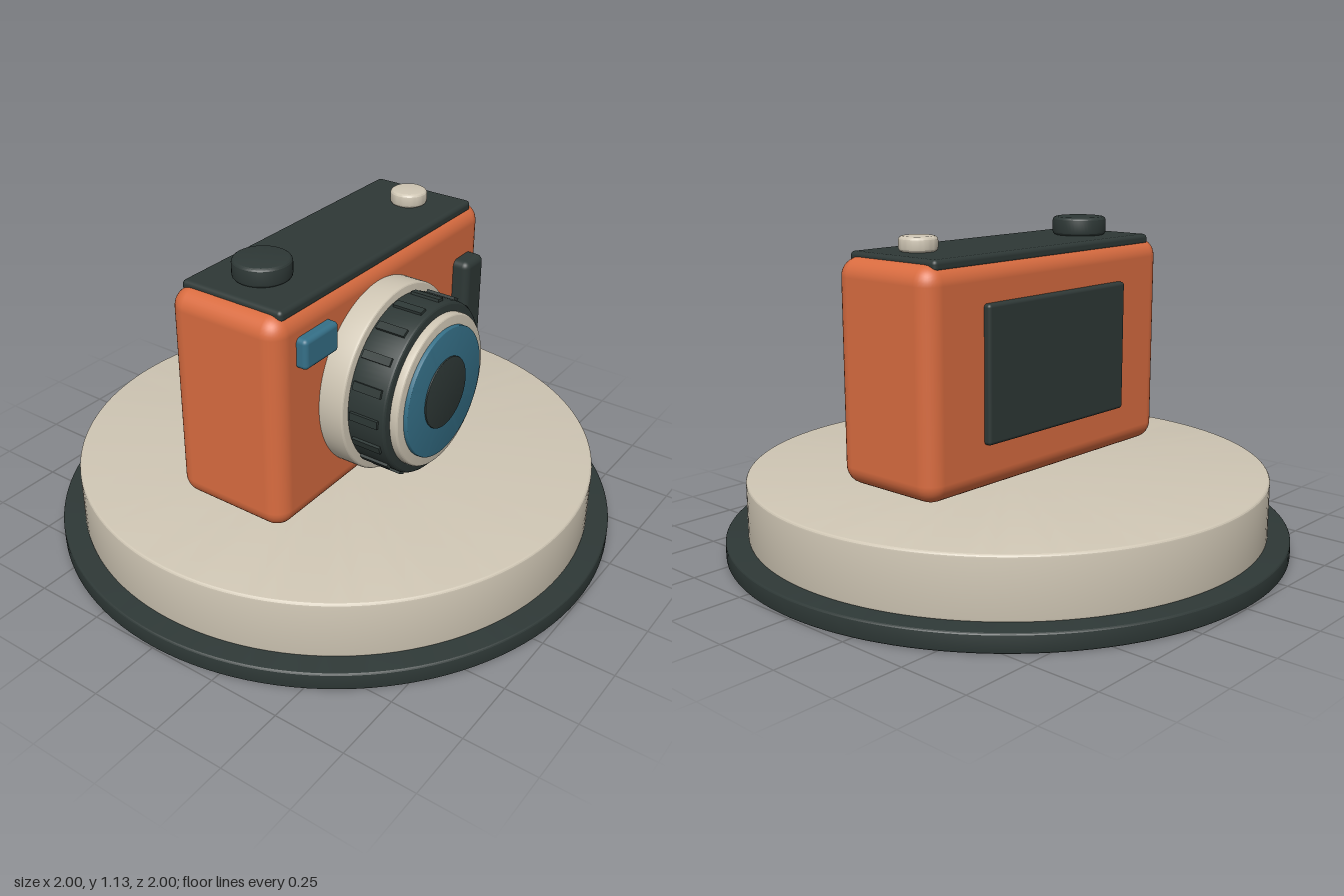
import * as THREE from 'three';
import { toCreasedNormals } from 'three/addons/utils/BufferGeometryUtils.js';
import { RoundedBoxGeometry } from 'three/addons/geometries/RoundedBoxGeometry.js';

const paint = (name, color) => {
  const m = new THREE.MeshStandardMaterial({ color });
  m.name = name;
  return m;
};

export function createModel() {
  const orange = paint('orange', 0xd96c40);
  const dark = paint('charcoal', 0x2e3836);
  const cream = paint('cream', 0xcfc6b4);
  const blue = paint('blue', 0x357088);

  const model = new THREE.Group();
  model.name = 'cameraOnStand';

  const add = (parent, name, geometry, material, x = 0, y = 0, z = 0) => {
    const mesh = new THREE.Mesh(geometry, material);
    mesh.name = name;
    mesh.position.set(x, y, z);
    parent.add(mesh);
    return mesh;
  };

  // Rounded block given by its limits on each axis
  const block = (name, material, [x0, x1], [y0, y1], [z0, z1], radius) =>
    add(model, name, new RoundedBoxGeometry(x1 - x0, y1 - y0, z1 - z0, 4, radius),
      material, (x0 + x1) / 2, (y0 + y1) / 2, (z0 + z1) / 2);

  // Upright disc from y0 to y1 with rounded rims
  const disc = (r, y0, y1, bevel, segments = 96) => {
    const points = [new THREE.Vector2(0, y0)];
    for (let i = 0; i <= 4; i++) {
      const a = -Math.PI / 2 + (i * Math.PI) / 8;
      points.push(new THREE.Vector2(r - bevel + bevel * Math.cos(a), y0 + bevel + bevel * Math.sin(a)));
    }
    for (let i = 0; i <= 4; i++) {
      const a = (i * Math.PI) / 8;
      points.push(new THREE.Vector2(r - bevel + bevel * Math.cos(a), y1 - bevel + bevel * Math.sin(a)));
    }
    points.push(new THREE.Vector2(0, y1));
    return toCreasedNormals(new THREE.LatheGeometry(points, segments), 0.35);
  };

  // Round stand
  add(model, 'standFoot', disc(1, 0, 0.065, 0.01, 128), dark);
  add(model, 'standPlinth', disc(0.922, 0.06, 0.272, 0.012, 128), cream);

  // Camera body, top plate, window, grip and rear screen
  block('body', orange, [-0.602, 0.602], [0.295, 1.055], [-0.218, 0.218], 0.065);
  block('topPlate', dark, [-0.55, 0.55], [1.03, 1.07], [-0.197, 0.197], 0.015);
  block('viewfinderWindow', blue, [-0.505, -0.333], [0.868, 0.972], [0.19, 0.255], 0.016);
  block('grip', dark, [0.411, 0.53], [0.405, 0.89], [0.18, 0.277], 0.025);
  block('rearScreen', dark, [-0.355, 0.355], [0.455, 0.917], [-0.242, -0.2], 0.012);

  // Dials on the top plate
  add(model, 'modeDial', disc(0.097, 1.068, 1.135, 0.015, 48), dark, -0.378, 0, -0.01);
  add(model, 'shutterButton', disc(0.065, 1.068, 1.12, 0.015, 48), cream, 0.405, 0, 0.025);

  // Lens, built along +z
  const lens = new THREE.Group();
  lens.name = 'lens';
  lens.position.set(-0.067, 0.67, 0);
  model.add(lens);
  const lensDisc = (name, material, r, z0, z1, bevel) =>
    add(lens, name, disc(r, z0, z1, bevel).rotateX(Math.PI / 2), material);
  lensDisc('mountRing', cream, 0.326, 0.19, 0.308, 0.01);
  lensDisc('focusRing', dark, 0.295, 0.3, 0.446, 0.014);
  lensDisc('frontRing', cream, 0.263, 0.43, 0.473, 0.01);
  lensDisc('glass', blue, 0.226, 0.46, 0.487, 0.004);
  lensDisc('pupil', dark, 0.124, 0.484, 0.492, 0.002);

  // Grip ribs around the focus ring
  const ribs = 18;
  const ribGeometry = new THREE.BoxGeometry(0.03, 0.028, 0.105);
  for (let i = 0; i < ribs; i++) {
    const a = (i / ribs) * Math.PI * 2;
    const rib = add(lens, 'focusRib', ribGeometry, dark, Math.cos(a) * 0.289, Math.sin(a) * 0.289, 0.372);
    rib.rotation.z = a;
  }

  return model;
}
